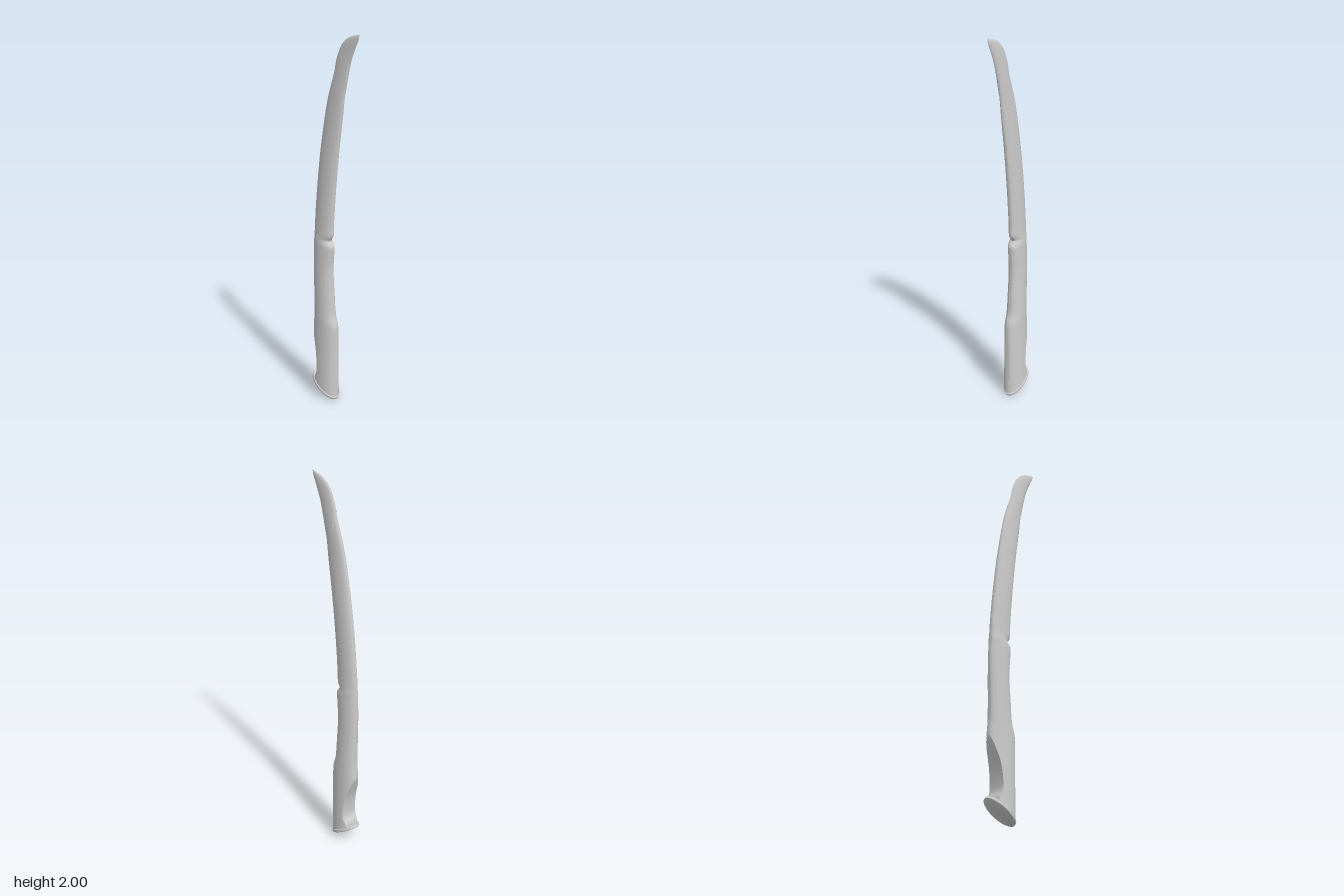
import * as THREE from 'three';
import { toCreasedNormals } from 'three/addons/utils/BufferGeometryUtils.js';

// Smooth curve through [y, value] stations
function curve(pts) {
  const slope = (i) => {
    const a = pts[Math.max(i - 1, 0)], b = pts[Math.min(i + 1, pts.length - 1)];
    return (b[1] - a[1]) / (b[0] - a[0]);
  };
  return (y) => {
    let i = 0;
    while (i < pts.length - 2 && y > pts[i + 1][0]) i++;
    const [y0, v0] = pts[i], [y1, v1] = pts[i + 1], h = y1 - y0;
    const t = THREE.MathUtils.clamp((y - y0) / h, 0, 1), s = 1 - t;
    return v0 * s * s * (1 + 2 * t) + v1 * t * t * (3 - 2 * t)
      + h * s * t * (slope(i) * s - slope(i + 1) * t);
  };
}

// Outline: back edge, front edge with its notch, half thickness, grip cut-out
const backEdge = curve([[0, -0.155], [0.38, -0.154], [0.43, -0.152], [0.5, -0.146], [0.8, -0.15],
  [1, -0.143], [1.2, -0.125], [1.4, -0.1], [1.6, -0.065], [1.7, -0.04], [1.8, -0.006],
  [1.87, 0.012], [1.93, 0.038], [1.965, 0.068], [1.985, 0.1], [1.995, 0.13], [2, 0.15]]);
const frontEdge = curve([[0, 0.01], [0.2, 0.01], [0.43, 0.01], [0.46, 0.004], [0.5, -0.009],
  [0.6, -0.017], [0.75, -0.025], [0.86, -0.017], [0.895, -0.016], [0.922, -0.037], [0.945, -0.021],
  [1, -0.018], [1.2, -0.002], [1.4, 0.021], [1.6, 0.05], [1.7, 0.063], [1.8, 0.085],
  [1.87, 0.104], [1.95, 0.138], [1.98, 0.153], [2, 0.157]]);
const thickness = curve([[0, 0.054], [0.1, 0.052], [0.4, 0.045], [0.7, 0.039], [0.9, 0.035],
  [0.94, 0.031], [1.3, 0.028], [1.6, 0.021], [1.8, 0.016], [1.95, 0.009], [1.985, 0.005], [2, 0.001]]);
const gripCut = curve([[0, -0.125], [0.11, -0.118], [0.15, -0.099], [0.2, -0.097], [0.28, -0.108],
  [0.35, -0.131], [0.41, -0.152], [0.44, -0.165]]);

const mouthPlane = (x) => 0.014 - 0.62 * (x - 0.01);

// Point on the oval section at height y
function sectionPoint(y, angle, swell = 1) {
  const b = backEdge(y), f = frontEdge(y);
  return [(b + f) / 2 + (f - b) / 2 * swell * Math.cos(angle), y, thickness(y) * swell * Math.sin(angle)];
}

// Surface from a grid of points, rows running upward
function loft(rows, cols, point, crease) {
  const pos = [], index = [];
  for (let j = 0; j <= rows; j++) {
    for (let i = 0; i <= cols; i++) {
      pos.push(...point(j / rows, i % cols));
      if (j < rows && i < cols) {
        const a = j * (cols + 1) + i, b = a + cols + 1;
        index.push(a, b, a + 1, b, b + 1, a + 1);
      }
    }
  }
  const g = new THREE.BufferGeometry();
  g.setAttribute('position', new THREE.Float32BufferAttribute(pos, 3));
  g.setIndex(index);
  return toCreasedNormals(g, crease);
}

export function createModel() {
  const group = new THREE.Group();
  const material = new THREE.MeshStandardMaterial({ color: 0xcccccc, side: THREE.DoubleSide });
  const add = (name, geometry) => {
    const mesh = new THREE.Mesh(geometry, material);
    mesh.name = name;
    group.add(mesh);
    return mesh;
  };

  // Curved body: oval sections, flat where the grip is cut away, trimmed at the slanted mouth
  const cols = 45;
  add('scabbardBody', loft(190, cols, (t, i) => {
    const y = t * 1.88, b = backEdge(y), f = frontEdge(y);
    const u = y < 0.43 ? (gripCut(y) - (b + f) / 2) / ((f - b) / 2) : -1;
    const limit = Math.acos(THREE.MathUtils.clamp(u, -1, 1));
    const p = sectionPoint(y, limit * (2 * i / (cols - 1) - 1));
    p[1] = Math.max(y, mouthPlane(p[0]));
    return p;
  }, 0.7));

  // End cap with a slanted lower seam, standing slightly proud of the body
  add('endCap', loft(50, 40, (t, i) => {
    const angle = i / 40 * Math.PI * 2;
    const e = 1 - (1 - t) ** 1.6;
    return sectionPoint(THREE.MathUtils.lerp(1.775 - 0.065 * Math.cos(angle), 2, e), angle, 1.035);
  }, 0.9));

  // Slanted oval rim closing the mouth
  const profile = [[0, -0.009], [0.094, -0.009], [0.099, -0.006], [0.1, 0], [0.099, 0.006], [0.094, 0.009], [0, 0.009]]
    .map(([r, y]) => new THREE.Vector2(r, y));
  const rim = add('mouthRim', toCreasedNormals(new THREE.LatheGeometry(profile, 48), 0.8));
  rim.scale.z = 0.57;
  rim.rotation.z = -0.553;
  rim.position.set(-0.074, 0.061, 0);

  return group;
}
